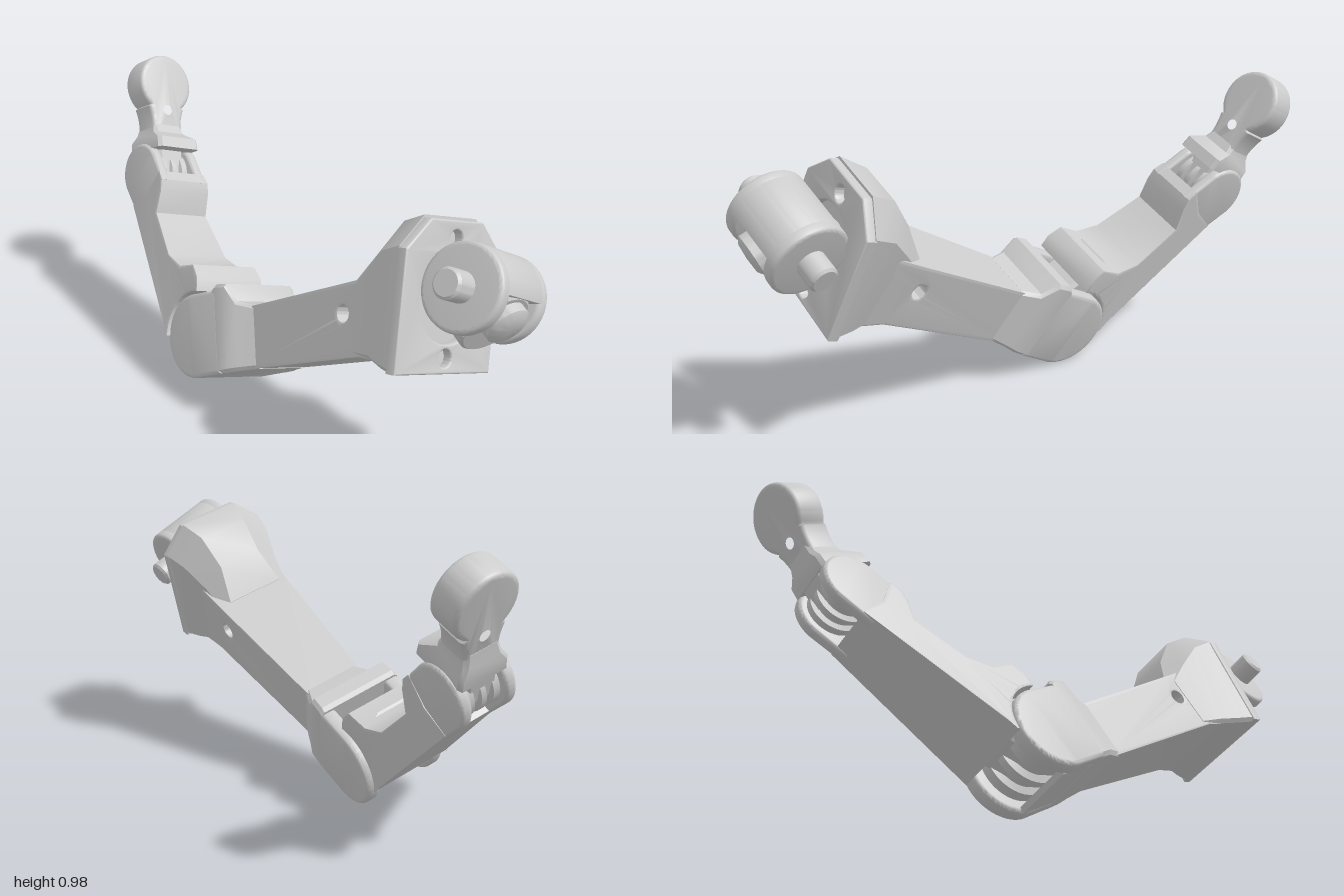
import * as THREE from 'three';
import { toCreasedNormals } from 'three/addons/utils/BufferGeometryUtils.js';

const grey = new THREE.MeshStandardMaterial({ color: 0xcccccc });
const V = (x, y, z) => new THREE.Vector3(x, y, z);

function add(parent, name, geometry, crease = 0.6) {
  const mesh = new THREE.Mesh(toCreasedNormals(geometry, crease), grey);
  mesh.name = name;
  parent.add(mesh);
  return mesh;
}

function segment(parent, name, x, y, angle) {
  const g = new THREE.Group();
  g.name = name;
  g.position.set(x, y, 0);
  g.rotation.z = angle;
  parent.add(g);
  return g;
}

const outline = (pts) => new THREE.Shape(pts.map((p) => new THREE.Vector2(p[0], p[1])));

function hole(shape, x, y, r) {
  const h = new THREE.Path();
  h.absarc(x, y, r, 0, Math.PI * 2, true);
  shape.holes.push(h);
}

// Bevelled slab between z0 and z1
function slab(shape, z0, z1, bevel = 0.012) {
  return new THREE.ExtrudeGeometry(shape, {
    depth: z1 - z0 - 2 * bevel, bevelThickness: bevel, bevelSize: bevel,
    bevelOffset: -bevel, bevelSegments: 3, curveSegments: 32,
  }).translate(0, 0, z0 + bevel);
}

// Scale the half-width linearly along x
function taper(geo, x0, w0, x1, w1) {
  const p = geo.attributes.position;
  for (let i = 0; i < p.count; i++) {
    p.setZ(i, p.getZ(i) * (w0 + (w1 - w0) * (p.getX(i) - x0) / (x1 - x0)));
  }
  return geo;
}

// Box sections [x, low, high, halfWidth, topChamfer, lean], joined along +x
function loft(stations) {
  const pos = [], idx = [], n = 8, b = 0.012;
  for (const [x, lo, hi, w, c = b, lean = 0] of stations) {
    const ring = [[hi, -w + c], [hi, w - c], [hi - c, w], [lo + b, w],
      [lo, w - b], [lo, -w + b], [lo + b, -w], [hi - c, -w]];
    for (const [y, z] of ring) pos.push(x + lean * y, y, z);
  }
  const last = (stations.length - 1) * n;
  for (let i = 0; i < last; i += n) {
    for (let j = 0; j < n; j++) {
      const k = (j + 1) % n;
      idx.push(i + j, i + k, i + n + j, i + k, i + n + k, i + n + j);
    }
  }
  for (let j = 1; j < n - 1; j++) idx.push(0, j + 1, j, last, last + j, last + j + 1);
  const g = new THREE.BufferGeometry();
  g.setAttribute('position', new THREE.Float32BufferAttribute(pos, 3));
  g.setIndex(idx);
  return g;
}

const lathe = (pts) => new THREE.LatheGeometry(pts.map((p) => new THREE.Vector2(p[0], p[1])), 40);

// Grooved barrel lying along z
function pulley(r, w) {
  const g = r * 0.8;
  return lathe([[0, -w], [r, -w], [r, -w * 0.6], [g, -w * 0.5], [g, -w * 0.25], [r, -w * 0.15],
    [r, w * 0.15], [g, w * 0.25], [g, w * 0.5], [r, w * 0.6], [r, w], [0, w]]).rotateX(Math.PI / 2);
}

// Fork cheek with a round end, reaching towards +x
function cheek(r, reach, lo, hi) {
  const s = new THREE.Shape();
  s.absarc(0, 0, r, Math.PI / 2, Math.PI * 1.5, false);
  s.lineTo(reach, lo);
  s.lineTo(reach, hi);
  s.closePath();
  return s;
}

function buildBaseSegment(arm) {
  const seg = segment(arm, 'baseSegment', 0, 0, 0.431);
  for (const z of [-0.165, 0.093]) {
    add(seg, 'knuckleFork', slab(cheek(0.145, 0.14, -0.137, 0.145), z, z + 0.055, 0.014));
  }
  add(seg, 'knuckleNeck', loft([[0.115, -0.138, 0.155, 0.156], [0.13, -0.138, 0.165, 0.156],
    [0.18, -0.135, 0.162, 0.152], [0.215, -0.132, 0.1, 0.135], [0.28, -0.13, 0.08, 0.106]])
    .translate(0, 0, -0.009));
  // Floor closing the underside between the cheeks
  add(seg, 'knuckleFloor', loft([[-0.04, -0.143, -0.122, 0.12], [0.05, -0.14, -0.11, 0.12],
    [0.15, -0.135, -0.05, 0.12]]).translate(0, 0, -0.009));
  // Long tapered beam with a cross hole
  const side = outline([[0.24, -0.128], [0.8, -0.125], [0.96, -0.16], [0.96, 0.11], [0.76, 0.10], [0.24, 0.078]]);
  hole(side, 0.738, 0.01, 0.028);
  add(seg, 'beam', taper(slab(side, -1, 1, 0.012), 0.24, 0.105, 0.96, 0.155).translate(0, 0, -0.009));
  // Flared head blending into the mounting plate
  add(seg, 'flaredHead', loft([[0.775, -0.12, 0.102, 0.135, 0.03], [0.86, -0.135, 0.19, 0.15, 0.07, 0.05],
    [0.945, -0.165, 0.258, 0.18, 0.09, 0.13], [1.02, -0.184, 0.26, 0.199, 0.09, 0.22]]));
  const face = outline([[-0.2, -0.186], [0.2, -0.186], [0.2, 0.17], [0.11, 0.26], [-0.11, 0.26], [-0.2, 0.17]]);
  hole(face, 0, 0.03, 0.13);
  for (const y of [-0.14, 0.205]) hole(face, 0, y, 0.027);
  const plate = add(seg, 'mountingPlate', slab(face, 0, 0.04, 0.006).rotateY(Math.PI / 2));
  plate.position.set(1.01, 0, 0);
  plate.rotation.z = -0.22;
  add(seg, 'swivelStem', new THREE.CylinderGeometry(0.06, 0.075, 0.16, 32)
    .rotateZ(-Math.PI / 2).translate(1.08, 0.03, 0));
}

function buildMiddleSegment(arm) {
  const seg = segment(arm, 'middleSegment', 0, 0, -0.63);
  add(seg, 'knucklePulley', pulley(0.114, 0.088).translate(0, 0, -0.009));
  add(seg, 'knuckleTongue', loft([[-0.25, -0.1, 0.08, 0.08], [0, -0.09, 0.09, 0.08]]));
  // Body with a concave end that clears the knuckle
  const body = new THREE.Shape();
  body.absarc(0, 0, 0.156, Math.PI * 1.31, Math.PI * 0.78, true);
  for (const [x, y] of [[-0.16, 0.125], [-0.215, 0.125], [-0.26, 0.055], [-0.34, 0.015],
    [-0.53, 0.018], [-0.585, 0.08], [-0.62, 0.105], [-0.66, 0.105], [-0.64, 0], [-0.66, -0.1]]) body.lineTo(x, y);
  body.closePath();
  add(seg, 'middleBody', taper(slab(body, -1, 1, 0.01), -0.1, 0.148, -0.66, 0.102));
  for (const z of [-0.1, 0.06]) {
    const fork = add(seg, 'tipFork', slab(cheek(0.108, 0.12, -0.105, 0.105), z, z + 0.04));
    fork.position.x = -0.738;
  }
}

function buildTipSegment(arm) {
  const seg = segment(arm, 'tipSegment', -0.596, 0.435, -1.145);
  add(seg, 'tipPulley', pulley(0.085, 0.057));
  add(seg, 'tipTongue', loft([[-0.13, -0.07, 0.07, 0.055], [0, -0.07, 0.07, 0.055]]));
  add(seg, 'tipShoulder', loft([[-0.19, -0.056, 0.052, 0.058], [-0.15, -0.066, 0.065, 0.068],
    [-0.12, -0.075, 0.12, 0.088], [-0.08, -0.075, 0.125, 0.09]]));
  // Round paddle with an eyelet, lying across the hinge plane
  const paddle = new THREE.Shape();
  paddle.moveTo(0.09, 0.075);
  paddle.quadraticCurveTo(0.18, 0.05, 0.25, 0.078);
  paddle.absarc(0.342, 0, 0.112, Math.PI * 0.78, -Math.PI * 0.78, true);
  paddle.lineTo(0.25, -0.078);
  paddle.quadraticCurveTo(0.18, -0.05, 0.09, -0.075);
  paddle.closePath();
  hole(paddle, 0.24, 0, 0.034);
  add(seg, 'paddle', slab(paddle, -0.055, 0.055, 0.015).rotateX(Math.PI / 2).rotateY(Math.PI));
}

// Swivel drum, notched around an angled knob, with trunnion pins
function buildSwivel(group) {
  const swivel = new THREE.Group();
  swivel.name = 'swivel';
  swivel.position.set(0.855, 0.728, 0.083);
  swivel.rotation.x = -0.495;
  group.add(swivel);
  const round = new THREE.Shape();
  round.absarc(0, 0, 0.13, 0, Math.PI * 2, false);
  for (const z of [-0.132, 0.085]) add(swivel, 'drumEnd', slab(round, z, z + 0.047, 0.012));
  const notched = new THREE.Shape();
  notched.absarc(0, 0, 0.13, 0.2, Math.PI * 2 - 1.3, false);
  notched.lineTo(0.02, -0.012);
  notched.closePath();
  add(swivel, 'drumCore', slab(notched, -0.1, 0.1, 0.002));
  const pin = lathe([[0, -0.21], [0.038, -0.21], [0.046, -0.202], [0.046, 0.202], [0.038, 0.21], [0, 0.21]]);
  add(swivel, 'trunnionPin', pin.rotateX(Math.PI / 2));
  const aim = new THREE.Quaternion().setFromUnitVectors(V(0, 1, 0), V(0.87, -0.493, 0).normalize());
  const knob = lathe([[0, 0], [0.067, 0], [0.067, 0.122], [0.05, 0.134], [0, 0.138]]);
  add(swivel, 'knob', knob).quaternion.copy(aim);
  const collar = lathe([[0, -0.05], [0.104, -0.05], [0.112, -0.042], [0.112, 0.03], [0.104, 0.038], [0, 0.038]]);
  const ring = add(swivel, 'knobCollar', collar);
  ring.quaternion.copy(aim);
  ring.position.set(0.035, -0.05, 0);
}

export function createModel() {
  const model = new THREE.Group();
  model.name = 'jointedArm';
  // All hinges share one tilted axis
  const arm = new THREE.Group();
  arm.name = 'linkage';
  const n = V(-0.144, 0.316, 0.938).normalize();
  const v = n.clone().cross(V(1, 0, 0)).normalize();
  const u = v.clone().cross(n);
  arm.quaternion.setFromRotationMatrix(new THREE.Matrix4().makeBasis(u, v, n));
  arm.position.set(-0.198, 0.187, 0.1);
  model.add(arm);
  buildBaseSegment(arm);
  buildMiddleSegment(arm);
  buildTipSegment(arm);
  buildSwivel(model);
  // Stand on the ground, centred
  model.updateMatrixWorld(true);
  const box = new THREE.Box3().setFromObject(model, true);
  const c = box.getCenter(V(0, 0, 0));
  for (const child of model.children) child.position.sub(V(c.x, box.min.y, c.z));
  return model;
}
